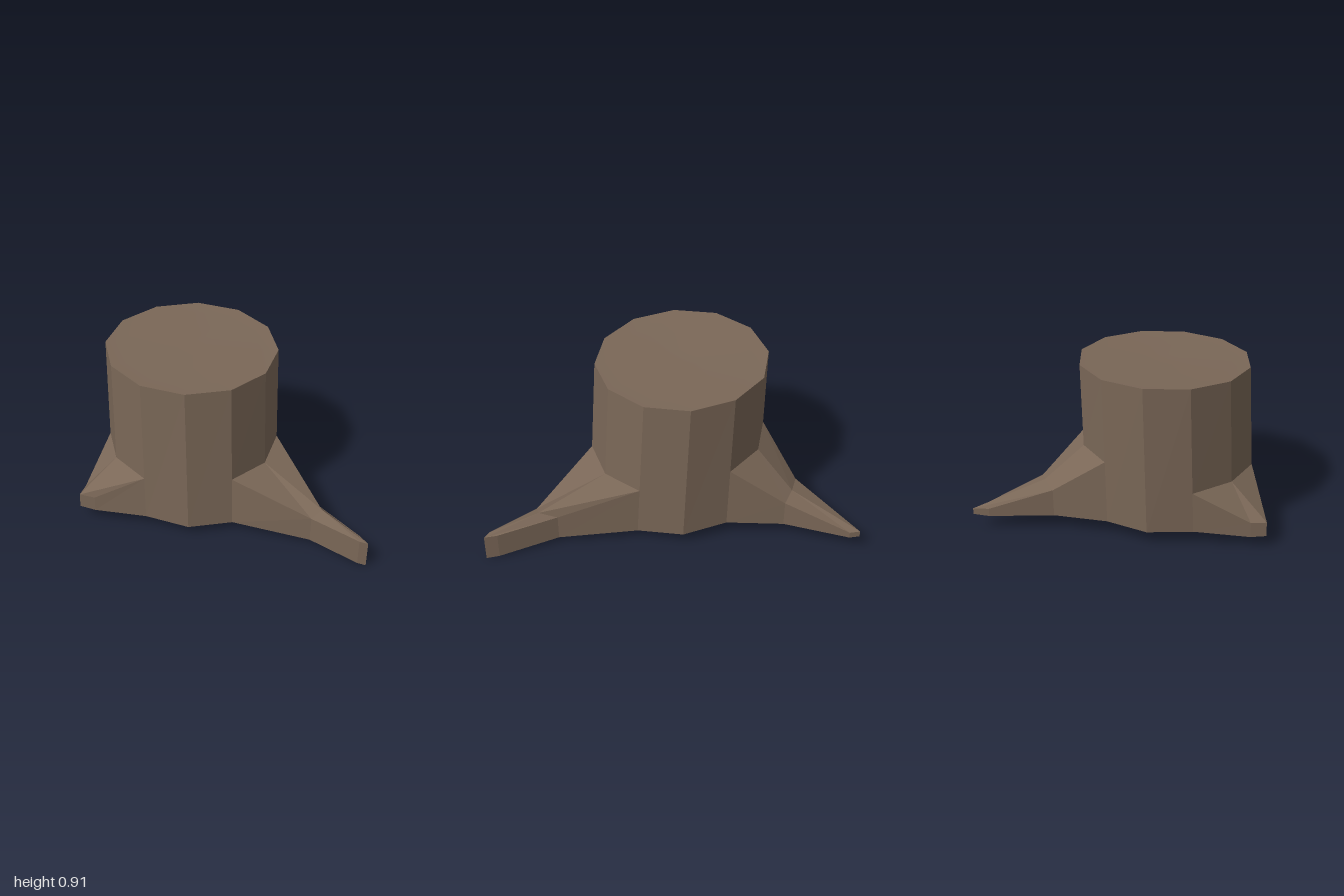
import * as THREE from 'three';

const SIDES = 12;

// Collects quads and turns them into one faceted geometry
function facets(quads) {
  const points = [];
  for (const [a, b, c, d] of quads) points.push(a, b, c, a, c, d);
  const geometry = new THREE.BufferGeometry().setFromPoints(points);
  geometry.computeVertexNormals();
  return geometry;
}

// Trunk rim points, counted round from the front towards +x
function topPoint(i, scale = 1, drop = 0) {
  const a = (i / SIDES) * Math.PI * 2;
  const z = -0.09 + 0.463 * Math.cos(a) * scale;
  return new THREE.Vector3(0.06 + 0.473 * Math.sin(a) * scale, Math.min(0.912, 0.9 - 0.033 * (z + 0.09)) - drop, z);
}

function bottomPoint(i) {
  const a = (i / SIDES) * Math.PI * 2;
  const z = -0.06 + 0.485 * Math.cos(a);
  return new THREE.Vector3(0.06 + 0.476 * Math.sin(a), Math.min(0.08, 0.065 - 0.045 * z), z);
}

function columnAt(i, y) {
  const b = bottomPoint(i), t = topPoint(i);
  return b.clone().lerp(t, (y - b.y) / (t.y - b.y));
}

// Each root leaves the trunk over two panels; sections hold [x, top, z, bottom]
const ROOTS = [
  { name: 'frontRoot', start: 0, join: [0.33, 0.325, 0.34], sections: [
    [[0.38, 0.175, 0.72, 0.028], [0.45, 0.205, 0.71, 0.028], [0.465, 0.178, 0.61, 0.032]],
    [[0.525, 0.155, 0.97, 0.006], [0.56, 0.15, 1, 0], [0.553, 0.152, 0.93, 0.004]],
  ] },
  { name: 'backRoot', start: 4, join: [0.44, 0.44, 0.44], sections: [
    [[0.51, 0.23, -0.61, 0.08], [0.43, 0.25, -0.66, 0.08], [0.32, 0.235, -0.7, 0.08]],
    [[0.645, 0.115, -0.945, 0.08], [0.645, 0.12, -1, 0.085], [0.57, 0.125, -0.95, 0.08]],
  ] },
  { name: 'rightRoot', start: 8, join: [0.31, 0.315, 0.31], sections: [
    [[-0.59, 0.145, -0.11, 0.06], [-0.65, 0.147, -0.05, 0.065], [-0.585, 0.145, 0.01, 0.057]],
  ] },
];

function rootGeometry({ start, join, sections }) {
  const rings = [
    join.map((y, k) => ({ t: columnAt(start + k, y), b: bottomPoint(start + k) })),
    ...sections.map((s) => s.map(([x, top, z, bottom]) => ({
      t: new THREE.Vector3(x, top, z), b: new THREE.Vector3(x, bottom, z),
    }))),
  ];
  const quads = [];
  for (let r = 0; r < rings.length - 1; r++) {
    const p = rings[r], q = rings[r + 1];
    for (let k = 0; k < 2; k++) {
      quads.push([q[k].t, q[k + 1].t, p[k + 1].t, p[k].t]); // upper slope
      quads.push([p[k].b, p[k + 1].b, q[k + 1].b, q[k].b]); // underside
    }
    quads.push([p[0].b, q[0].b, q[0].t, p[0].t]);
    quads.push([q[2].b, p[2].b, p[2].t, q[2].t]);
  }
  // Blunt tip
  const e = rings[rings.length - 1];
  for (let k = 0; k < 2; k++) quads.push([e[k].b, e[k + 1].b, e[k + 1].t, e[k].t]);
  return facets(quads);
}

// Trunk wall, open below and where the roots flare out
function trunkGeometry() {
  const quads = [];
  for (let i = 0; i < SIDES; i++) {
    const root = ROOTS.find((r) => i === r.start || i === r.start + 1);
    const foot = (j) => (root ? columnAt(j, root.join[j - root.start]) : bottomPoint(j));
    quads.push([foot(i), foot(i + 1), topPoint(i + 1), topPoint(i)]);
  }
  return facets(quads);
}

// Cut surface, slightly dished towards the middle
function cutGeometry() {
  const rings = [[1, 0], [0.8, 0.005], [0.18, 0.008]];
  const points = [], index = [];
  for (const [scale, drop] of rings) {
    for (let i = 0; i < SIDES; i++) points.push(topPoint(i, scale, drop));
  }
  points.push(topPoint(0, 0, 0.016));
  const centre = points.length - 1;
  for (let i = 0; i < SIDES; i++) {
    const j = (i + 1) % SIDES;
    for (let r = 0; r < rings.length - 1; r++) {
      const o = r * SIDES, n = o + SIDES;
      index.push(o + i, o + j, n + j, o + i, n + j, n + i);
    }
    const o = (rings.length - 1) * SIDES;
    index.push(o + i, o + j, centre);
  }
  const geometry = new THREE.BufferGeometry().setFromPoints(points);
  geometry.setIndex(index);
  geometry.computeVertexNormals();
  return geometry;
}

export function createModel() {
  const model = new THREE.Group();
  model.name = 'treeStump';
  const wood = new THREE.MeshStandardMaterial({ color: 0x7a6757, side: THREE.DoubleSide });
  wood.name = 'brown wood';
  const add = (name, geometry) => {
    const mesh = new THREE.Mesh(geometry, wood);
    mesh.name = name;
    model.add(mesh);
  };
  add('trunk', trunkGeometry());
  add('cutTop', cutGeometry());
  for (const root of ROOTS) add(root.name, rootGeometry(root));
  return model;
}
